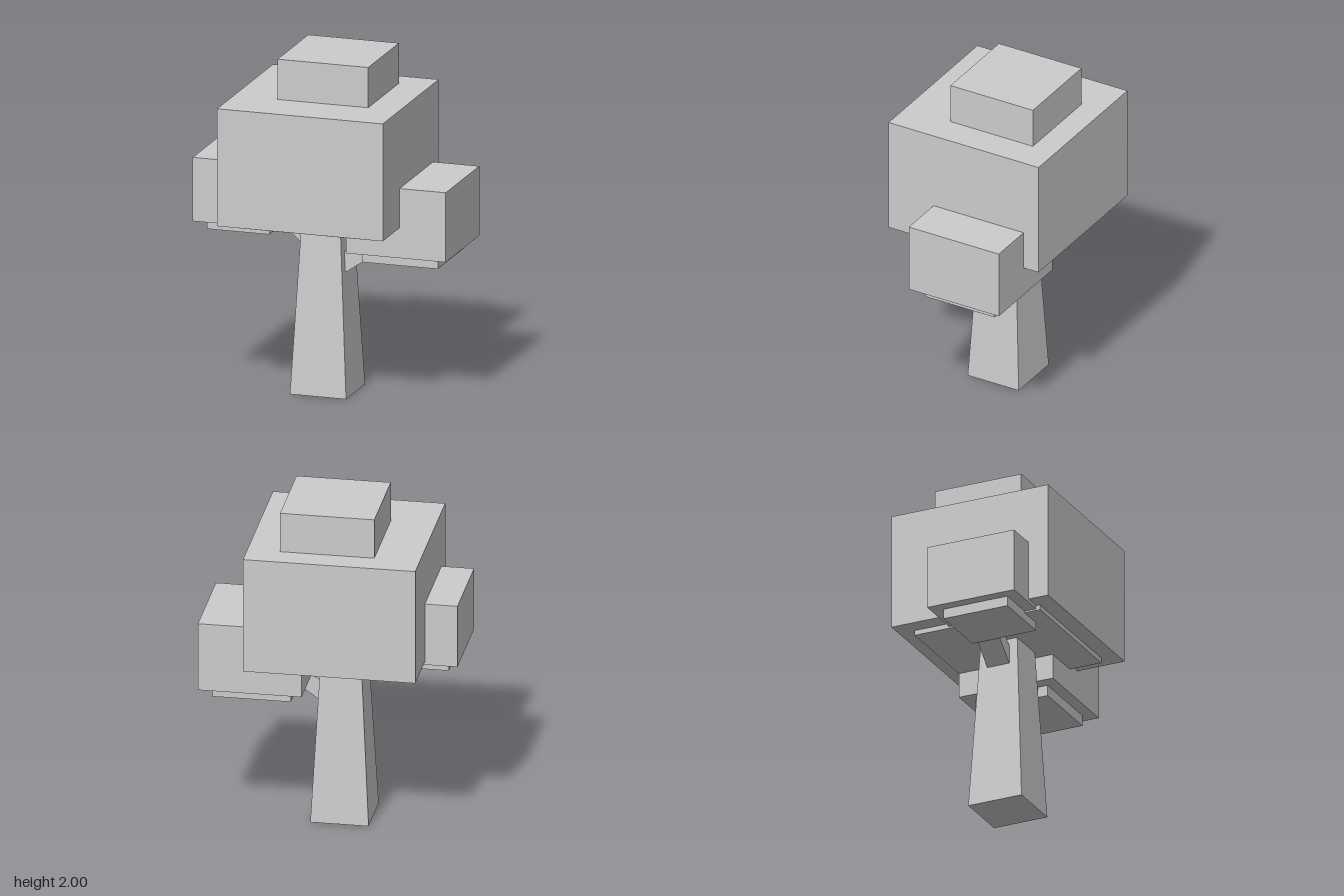
import * as THREE from 'three';

export function createModel() {
  const tree = new THREE.Group();
  tree.name = 'blockTree';
  const grey = new THREE.MeshStandardMaterial({ color: 0xcccccc });
  grey.name = 'lightGrey';

  const add = (name, geometry) => {
    const mesh = new THREE.Mesh(geometry, grey);
    mesh.name = name;
    tree.add(mesh);
    return mesh;
  };

  // Box given by its two extreme corners
  const block = (name, [x0, y0, z0], [x1, y1, z1]) =>
    add(name, new THREE.BoxGeometry(x1 - x0, y1 - y0, z1 - z0))
      .position.set((x0 + x1) / 2, (y0 + y1) / 2, (z0 + z1) / 2);

  // Square trunk, narrowing upwards
  const trunkHeight = 1.05;
  const trunkGeometry = new THREE.BoxGeometry(0.34, trunkHeight, 0.34);
  const p = trunkGeometry.attributes.position;
  for (let i = 0; i < p.count; i++) {
    if (p.getY(i) > 0) p.setXYZ(i, p.getX(i) * 0.68, p.getY(i), p.getZ(i) * 0.68);
  }
  trunkGeometry.computeVertexNormals();
  add('trunk', trunkGeometry).position.set(-0.05, trunkHeight / 2, 0);

  // Slanted branches, a side outline with a square depth
  const branch = (name, outline) => {
    const shape = new THREE.Shape(outline.map(([x, y]) => new THREE.Vector2(x, y)));
    const geometry = new THREE.ExtrudeGeometry(shape, { depth: 0.14, bevelEnabled: false });
    add(name, geometry).position.z = -0.07;
  };
  branch('leftBranch', [[0, 0.67], [0.25, 0.842], [0.2, 0.912], [0, 0.815]]);
  branch('rightBranch', [[-0.08, 0.793], [-0.08, 0.915], [-0.26, 1.048], [-0.33, 1.005]]);

  // Foliage blocks, each with a smaller slab beneath
  block('mainFoliage', [-0.55, 1.06, -0.5], [0.455, 1.76, 0.5]);
  block('mainFoliageUnderside', [-0.45, 1.03, -0.4], [0.355, 1.06, 0.4]);
  block('topFoliage', [-0.285, 1.76, -0.35], [0.265, 2, 0.2]);
  block('leftFoliage', [0.13, 0.88, -0.4], [0.735, 1.295, 0.2]);
  block('leftFoliageUnderside', [0.205, 0.815, -0.33], [0.663, 0.88, 0.13]);
  block('rightFoliage', [-0.74, 1.04, -0.18], [-0.235, 1.42, 0.375]);
  block('rightFoliageUnderside', [-0.677, 0.98, -0.105], [-0.3, 1.04, 0.302]);

  return tree;
}
